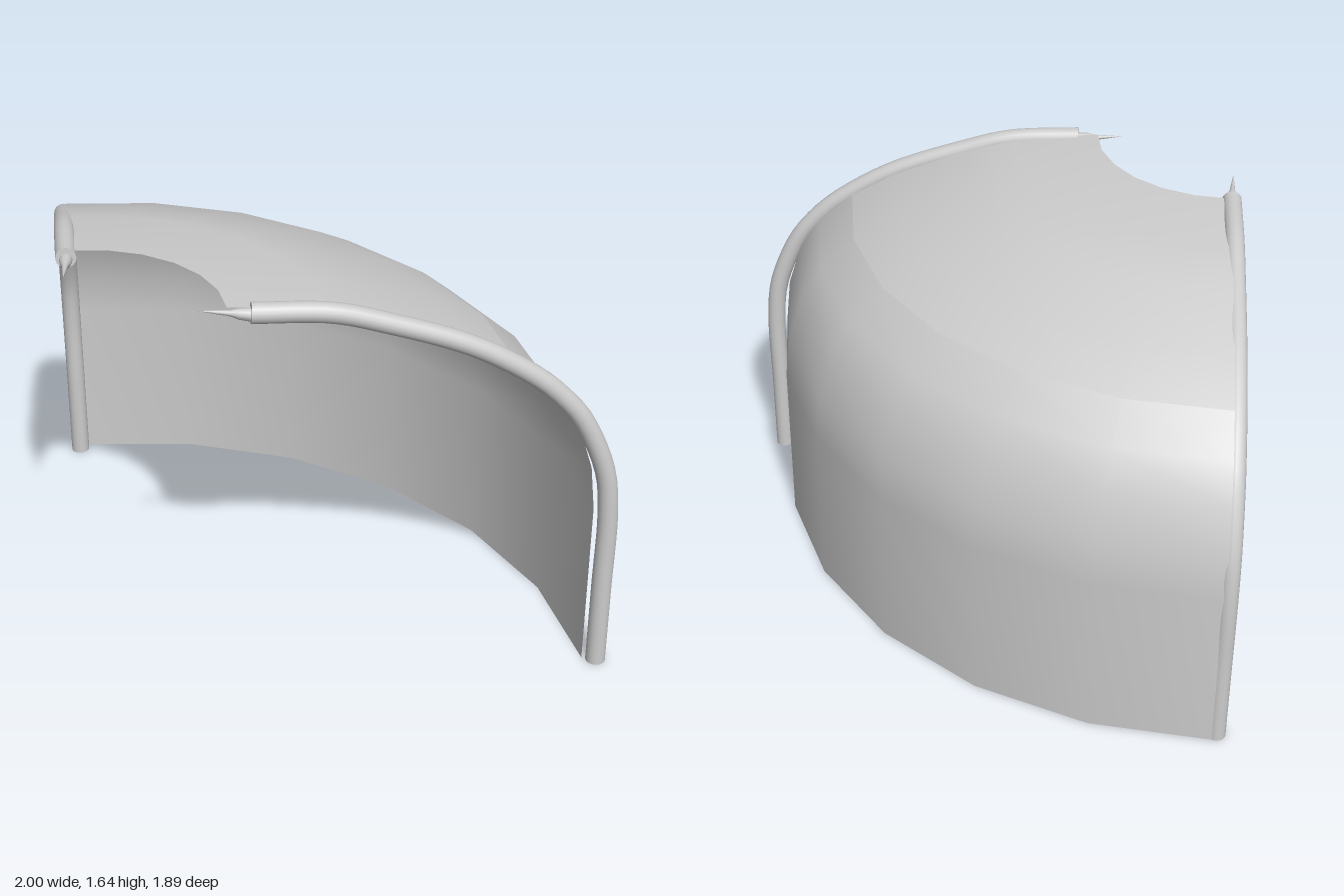
import * as THREE from 'three';

const material = new THREE.MeshStandardMaterial({ color: 0xcccccc });
const shellMaterial = new THREE.MeshStandardMaterial({ color: 0xcccccc, side: THREE.DoubleSide });

function part(name, geometry, mat = material) {
  const mesh = new THREE.Mesh(geometry, mat);
  mesh.name = name;
  return mesh;
}

// Quarter-turn surface sweeping from +x round to -z
function quarterShell(name, profile) {
  const points = profile.map(([r, y]) => new THREE.Vector2(r, y));
  const mesh = part(name, new THREE.LatheGeometry(points, 6, Math.PI / 2, Math.PI / 2), shellMaterial);
  mesh.position.set(-0.95, 0, 0.89);
  mesh.scale.z = 0.985;
  return mesh;
}

// Bent edge pipe with closed ends and a thin spike at its upper end
function edgePipe(name) {
  const group = new THREE.Group();
  group.name = name;
  const radius = 0.038;
  const path = [
    [0.96, 0], [0.96, 0.35], [0.96, 0.69], [0.935, 0.87], [0.84, 1.09], [0.76, 1.19], [0.66, 1.28],
    [0.43, 1.42], [0.12, 1.535], [-0.07, 1.588], [-0.35, 1.607],
  ].map(([x, y]) => new THREE.Vector3(x, y, 0));
  const curve = new THREE.CatmullRomCurve3(path, false, 'centripetal');
  group.add(part('pipe', new THREE.TubeGeometry(curve, 48, radius, 16)));

  // End caps
  for (const t of [0, 1]) {
    const cap = part(t ? 'upperCap' : 'footCap', new THREE.CircleGeometry(radius, 16));
    const outward = curve.getTangentAt(t).multiplyScalar(t ? 1 : -1);
    cap.position.copy(curve.getPointAt(t));
    cap.quaternion.setFromUnitVectors(new THREE.Vector3(0, 0, 1), outward);
    group.add(cap);
  }

  // Tapered spike
  const base = new THREE.Vector3(-0.345, 1.6, 0);
  const tip = new THREE.Vector3(-0.53, 1.62, -0.013);
  const axis = tip.clone().sub(base);
  const length = axis.length();
  const profile = [[0.025, 0], [0.02, 0.25], [0.011, 0.4], [0.007, 0.65], [0, 1]]
    .map(([r, t]) => new THREE.Vector2(r, t * length));
  const spike = part('spike', new THREE.LatheGeometry(profile, 10));
  spike.position.copy(base);
  spike.quaternion.setFromUnitVectors(new THREE.Vector3(0, 1, 0), axis.normalize());
  group.add(spike);
  return group;
}

export function createModel() {
  const model = new THREE.Group();
  model.name = 'quarterCanopy';

  // Upright wall and shallow roof, meeting at a crease
  model.add(quarterShell('wall', [
    [1.86, 0], [1.86, 0.69], [1.84, 0.87], [1.78, 1.06], [1.69, 1.2], [1.55, 1.32],
  ]));
  model.add(quarterShell('roof', [
    [1.55, 1.32], [1.37, 1.425], [1.07, 1.545], [0.86, 1.6], [0.52, 1.625],
  ]));

  // Matching pipes along both cut edges
  const frontPipe = edgePipe('frontPipe');
  frontPipe.position.z = 0.905;
  const sidePipe = edgePipe('sidePipe');
  sidePipe.position.set(-0.961, 0, 0.052);
  sidePipe.rotation.y = Math.PI / 2;
  model.add(frontPipe, sidePipe);
  return model;
}
